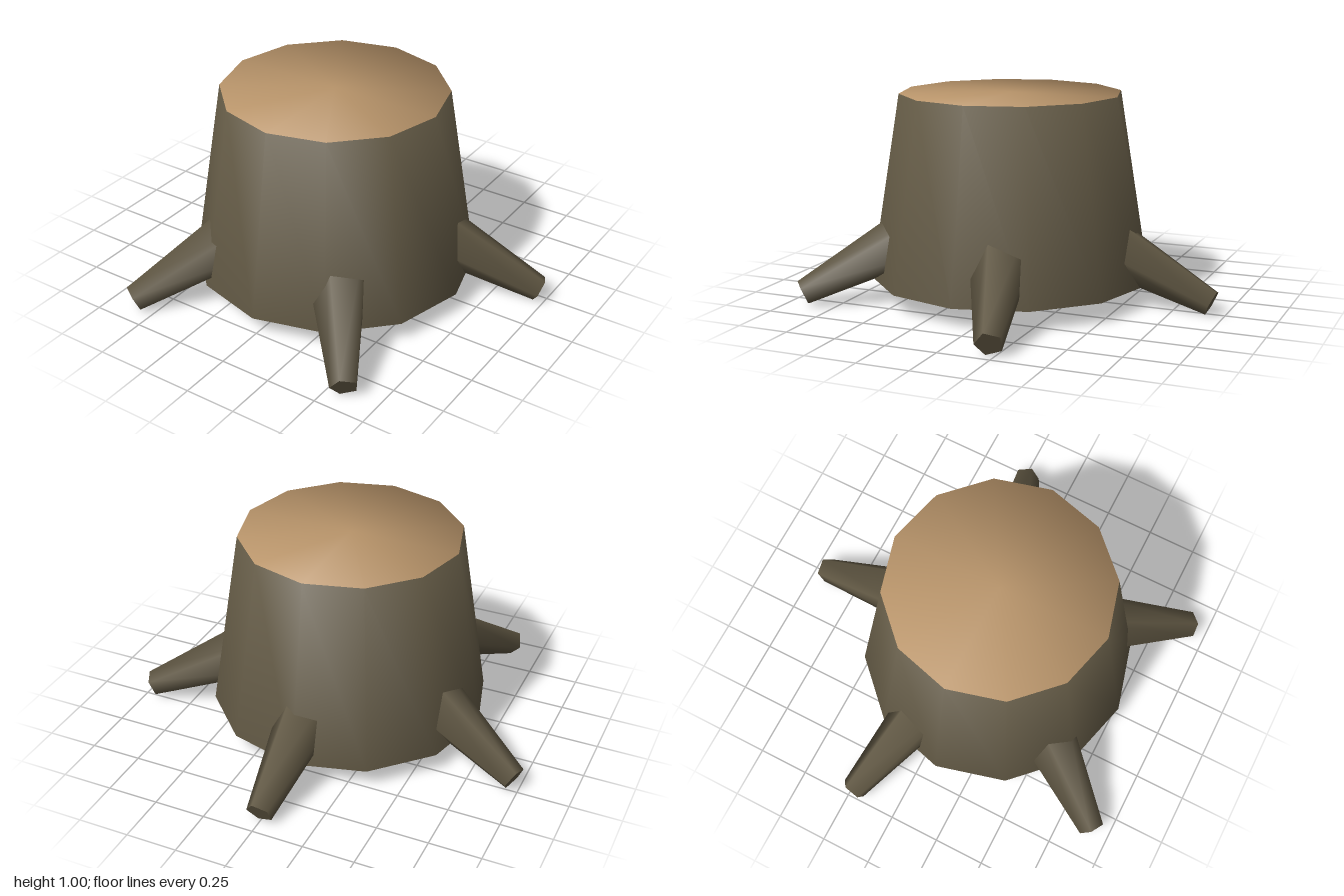
import * as THREE from 'three';

export function createModel() {
  const bark = new THREE.MeshStandardMaterial({ color: 0x5f5642, side: THREE.DoubleSide });
  bark.name = 'bark';
  const wood = new THREE.MeshStandardMaterial({ color: 0xb8946a, side: THREE.DoubleSide });
  wood.name = 'cutWood';

  const stump = new THREE.Group();
  stump.name = 'treeStump';

  // Trunk: twelve-sided tapered wall, open below, closed by the cut top
  const sides = 12;
  const profile = [[0.685, 0.1], [0.54, 1], [0, 1]].map(([r, y]) => new THREE.Vector2(r, y));
  const trunkGeo = new THREE.LatheGeometry(profile, sides);
  for (let i = 0; i < sides; i++) {
    trunkGeo.addGroup(i * 12, 6, 0);
    trunkGeo.addGroup(i * 12 + 6, 6, 1);
  }

  // Soft rim: normals lean outward evenly from the middle of the cut
  const normals = trunkGeo.attributes.normal;
  for (let i = 0; i <= sides; i++) {
    const a = (i / sides) * Math.PI * 2;
    normals.setXYZ(i * 3 + 1, 0.68 * Math.sin(a), 0.73, 0.68 * Math.cos(a));
    normals.setXYZ(i * 3 + 2, 0, 0.73, 0);
  }
  const trunk = new THREE.Mesh(trunkGeo, [bark, wood]);
  trunk.name = 'trunk';
  stump.add(trunk);

  // Roots: five tapered pegs sloping down and out through the wall
  const slope = THREE.MathUtils.degToRad(25);
  const length = 0.78;
  const rootGeo = new THREE.CylinderGeometry(0.065, 0.175, length, 5);
  rootGeo.rotateY(THREE.MathUtils.degToRad(56));
  rootGeo.rotateX(Math.PI / 2 + slope);
  rootGeo.translate(0, 0.06 + Math.sin(slope) * length / 2, 1.02 - Math.cos(slope) * length / 2);
  for (let i = 0; i < 5; i++) {
    const root = new THREE.Mesh(rootGeo, bark);
    root.name = `root${i + 1}`;
    root.rotation.y = Math.PI + (i * Math.PI * 2) / 5;
    stump.add(root);
  }

  stump.position.set(-0.003, 0, 0.085);
  const model = new THREE.Group();
  model.name = 'model';
  model.add(stump);
  return model;
}
